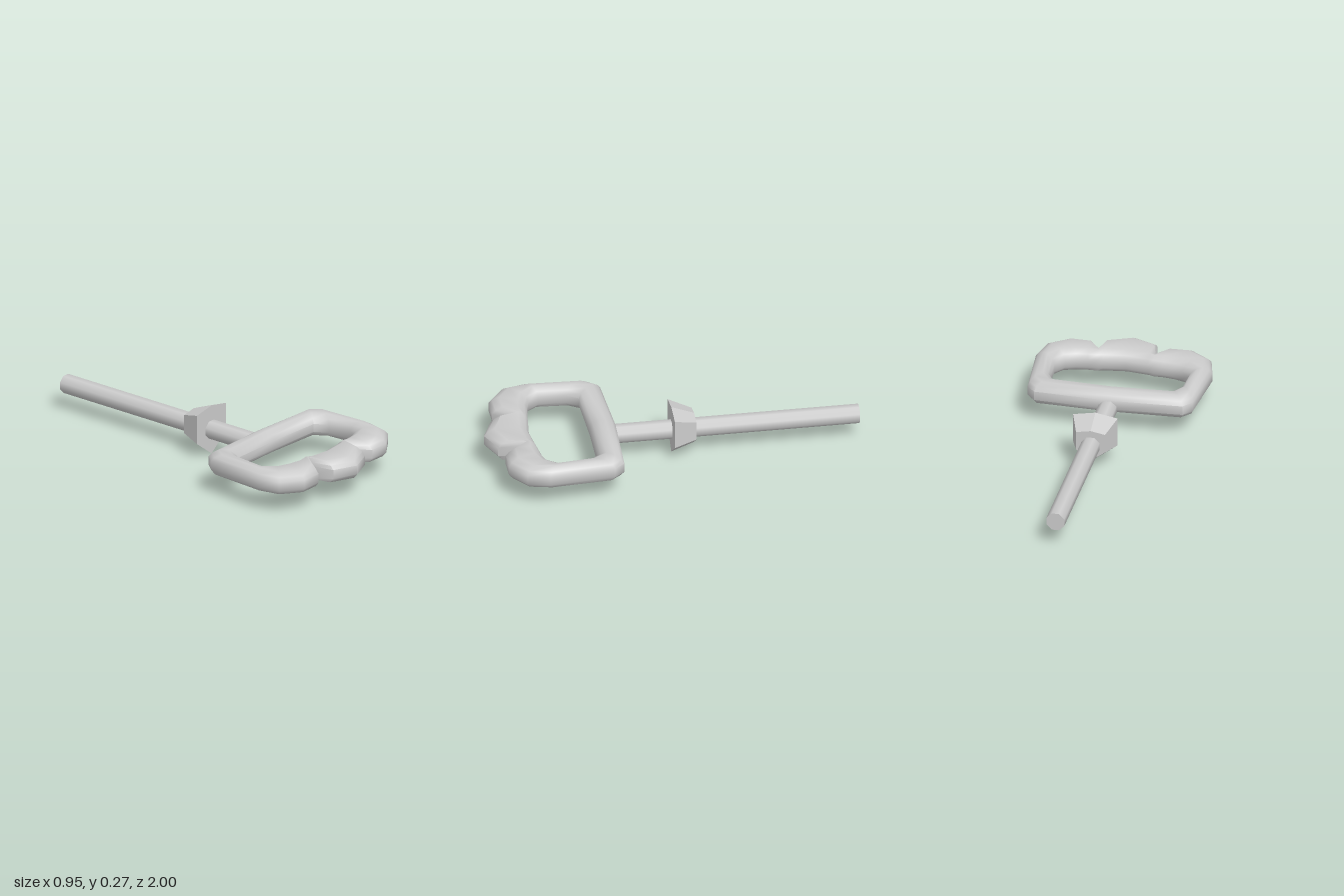
import * as THREE from 'three';
import { toCreasedNormals } from 'three/addons/utils/BufferGeometryUtils.js';

const material = new THREE.MeshStandardMaterial({ color: 0xcccccc });

function part(name, geometry) {
  const mesh = new THREE.Mesh(geometry, material);
  mesh.name = name;
  return mesh;
}

// Closed ring skinned over equal-length cross-sections of [x, y, z] points
function ringLoft(sections) {
  const n = sections.length, m = sections[0].length, index = [];
  for (let i = 0; i < n; i++) {
    for (let j = 0; j < m; j++) {
      const i2 = (i + 1) % n, j2 = (j + 1) % m;
      const a = i * m + j, b = i * m + j2, c = i2 * m + j, d = i2 * m + j2;
      index.push(a, b, c, b, d, c);
    }
  }
  const geometry = new THREE.BufferGeometry();
  geometry.setAttribute('position', new THREE.Float32BufferAttribute(sections.flat(2), 3));
  geometry.setIndex(index);
  return geometry;
}

// Grip: half outline as [outer x, outer z, inner x, inner z], back to front
function gripGeometry() {
  const half = [
    [0, 0.297, 0, 0.435],
    [0.4, 0.315, 0.31, 0.442],
    [0.445, 0.37, 0.355, 0.51],
    [0.475, 0.72, 0.36, 0.65],
    [0.445, 0.84, 0.315, 0.71],
    [0.335, 0.92, 0.26, 0.727],
    [0.22, 0.92, 0.2, 0.735],
    [0.155, 0.83, 0.15, 0.742], // finger notch
    [0.13, 0.945, 0.12, 0.745],
    [0, 1.0, 0, 0.76],
  ];
  const mirrored = half.slice(1, -1).reverse().map(([ox, oz, ix, iz]) => [-ox, oz, -ix, iz]);
  // Rounded section: [side (0 outer, 1 inner), inset from that side, y]
  const profile = [
    [0, 0, 0.14], [0, 0, 0.19], [0, 0.018, 0.21], [0, 0.055, 0.23],
    [1, 0.05, 0.23], [1, 0.016, 0.21], [1, 0, 0.185], [1, 0, 0.14],
    [1, 0.02, 0.115], [0, 0.022, 0.115],
  ];
  const sections = [...half, ...mirrored].map(([ox, oz, ix, iz]) => {
    const width = Math.hypot(ix - ox, iz - oz);
    const k = Math.min(1, width / 0.13);
    return profile.map(([side, inset, y]) => {
      const t = side ? 1 - (inset * k) / width : (inset * k) / width;
      return [ox + (ix - ox) * t, y, oz + (iz - oz) * t];
    });
  });
  return toCreasedNormals(ringLoft(sections), 1.0);
}

// Guard: six-sided block, tapered towards the back
function guardGeometry() {
  const outline = [[0, 0], [0.12, 0.09], [0.12, 0.25], [0, 0.272], [-0.12, 0.25], [-0.12, 0.09]];
  const shape = new THREE.Shape(outline.map(([x, y]) => new THREE.Vector2(x, y)));
  const geometry = new THREE.ExtrudeGeometry(shape, { depth: 0.122, bevelEnabled: false });
  const p = geometry.attributes.position;
  for (let i = 0; i < p.count; i++) {
    if (p.getZ(i) < 0.01) p.setXY(i, p.getX(i) * 0.65, 0.137 + (p.getY(i) - 0.137) * 0.65);
  }
  geometry.translate(0, 0, -0.122);
  geometry.computeVertexNormals();
  return geometry;
}

export function createModel() {
  const group = new THREE.Group();
  group.name = 'handledRod';

  group.add(part('grip', gripGeometry()));
  group.add(part('guard', guardGeometry()));

  // Eight-sided rod with a flat underside
  const rod = new THREE.CylinderGeometry(0.052, 0.052, 1.318, 8);
  rod.rotateY(Math.PI / 8).rotateX(Math.PI / 2).translate(0, 0.138, -0.341);
  group.add(part('rod', rod));

  return group;
}
